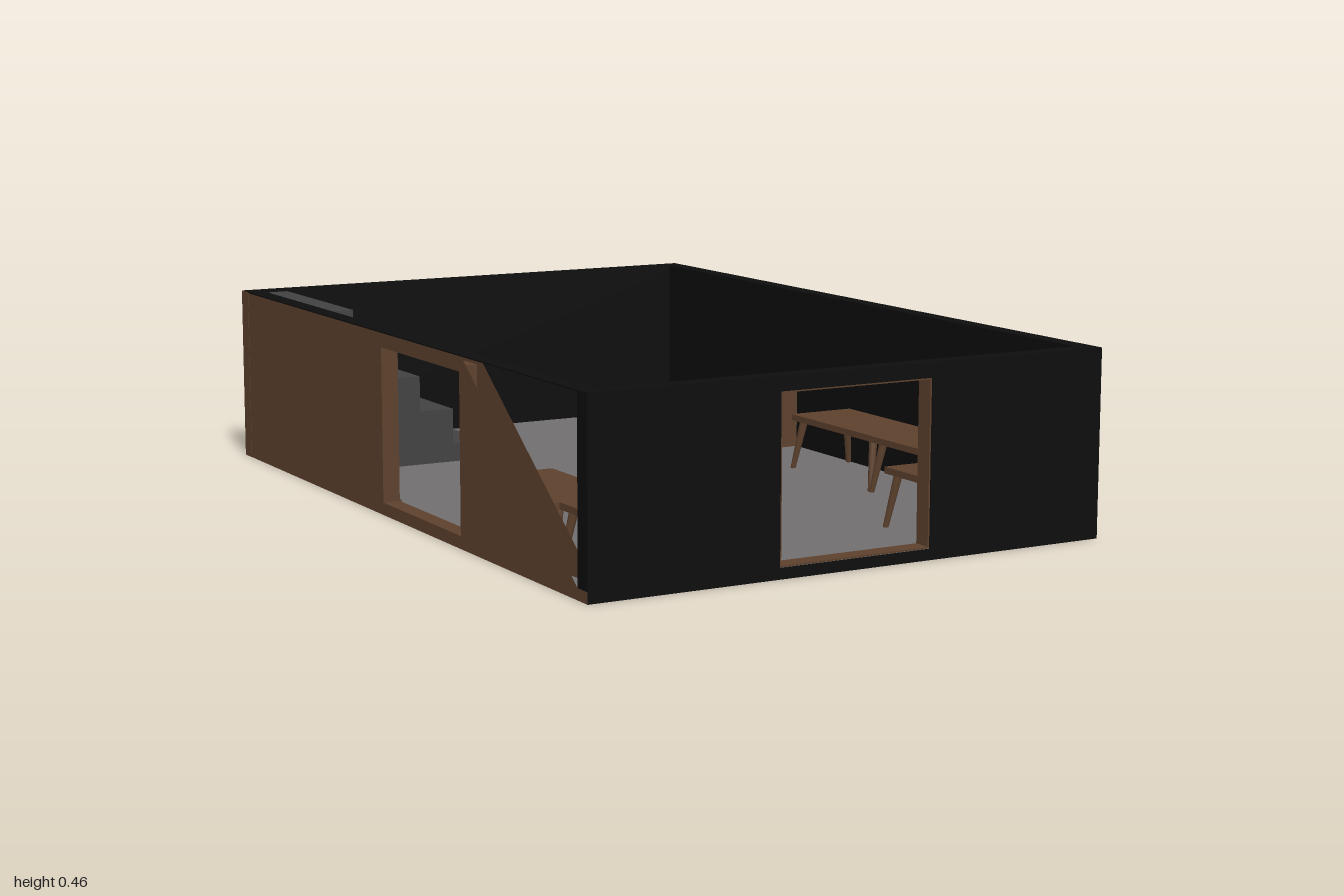
import * as THREE from 'three';

const mat = (name, color, extra = {}) => {
  const m = new THREE.MeshStandardMaterial({ color, ...extra });
  m.name = name;
  return m;
};

export function createModel() {
  const black = mat('black wall', 0x0d0d0d);
  const wood = mat('brown wood', 0x5d412d);
  const panel = mat('brown panel', 0x5d412d, { side: THREE.DoubleSide });
  const grey = mat('grey floor', 0x706e6e);
  const stone = mat('dark grey stairs', 0x424242);

  const room = new THREE.Group();
  room.name = 'room';

  // Box given by its minimum and maximum on each axis
  const box = (name, m, x0, x1, y0, y1, z0, z1, parent = room) => {
    const mesh = new THREE.Mesh(new THREE.BoxGeometry(x1 - x0, y1 - y0, z1 - z0), m);
    mesh.position.set((x0 + x1) / 2, (y0 + y1) / 2, (z0 + z1) / 2);
    mesh.name = name;
    parent.add(mesh);
    return mesh;
  };

  const X = 0.68, Z = 1, H = 0.455, F = 0.027, IX = 0.636, IZ = 0.955;
  const HEAD = 0.42; // top of both openings

  // Floor slab: grey on top, brown below, dark edges
  box('floor', [black, wood, grey, wood, black, black], -X, X, 0, F, -Z, Z);

  // Solid walls
  box('backWall', black, -X, X, F, H, -Z, -IZ);
  box('rightWall', black, IX, X, F, H, -IZ, IZ);
  box('frontWallLeft', black, -X, -0.2, F, H, IZ, Z);
  box('frontWallRight', black, 0.2, X, F, H, IZ, Z);
  box('frontLintel', black, -0.2, 0.2, HEAD, H, IZ, Z);

  // Side wall: two thin skins with a doorway and a sloping cut, under a dark rim
  const outline = (back, front) => new THREE.Shape([
    [back, F], [-0.07, F], [-0.07, HEAD], [0.38, HEAD], [0.38, F],
    [front, F], [0.39, H - 0.003], [back, H - 0.003],
  ].map(([z, y]) => new THREE.Vector2(z, y)));
  [[-X, -IZ, IZ, 'sideWallOuter'], [-IX, -IZ, IZ, 'sideWallInner']].forEach(([x, b, f, name]) => {
    const skin = new THREE.Mesh(new THREE.ShapeGeometry(outline(b, f)), panel);
    skin.rotation.y = -Math.PI / 2;
    skin.position.x = x;
    skin.name = name;
    room.add(skin);
  });
  box('sideWallRim', black, -X, -IX, H - 0.003, H, -IZ, IZ);
  box('sideWallBackEnd', wood, -X - 0.001, -X + 0.001, 0, H, -Z, -IZ);

  // Doorway linings
  const T = 0.004;
  box('frontDoorJambLeft', wood, -0.2, -0.2 + T, F, HEAD, IZ - 0.002, Z - 0.002);
  box('frontDoorJambRight', wood, 0.2 - T, 0.2, F, HEAD, IZ - 0.002, Z - 0.002);
  box('frontDoorSill', wood, -0.2, 0.2, F, F + T, IZ - 0.002, Z - 0.002);
  box('frontDoorHead', wood, -0.2, 0.2, HEAD - T, HEAD + 0.015, IZ - 0.006, Z - 0.004);
  box('sideDoorJambBack', wood, -X, -IX, F, HEAD, -0.07, -0.07 + T);
  box('sideDoorJambFront', wood, -X, -IX, F, HEAD, 0.38 - T, 0.38);
  box('sideDoorSill', wood, -X, -IX, F, F + T, -0.07, 0.38);
  box('sideDoorHead', wood, -X, -IX + 0.006, HEAD - T, HEAD + 0.01, -0.07, 0.38);

  // Skirting along the side wall
  box('skirting', wood, -IX, -IX + 0.006, F, F + 0.006, -0.5, -0.07);

  // Stairs rising towards the side wall
  const stairs = new THREE.Group();
  stairs.name = 'stairs';
  room.add(stairs);
  const edges = [-0.19, -0.286, -0.381, -0.476, -0.567, -IX + 0.001];
  for (let i = 0; i < 5; i++) {
    box('step', stone, edges[i + 1], edges[i], F, 0.075 + i * 0.094, -IZ, -0.5, stairs);
  }

  // Counter
  box('counter', wood, 0.06, IX, F, 0.19, -0.425, -0.25);

  // Table with four splayed tapered legs
  const up = new THREE.Vector3(0, 1, 0);
  const table = (x0, x1, z0, z1, top) => {
    const g = new THREE.Group();
    g.name = 'table';
    room.add(g);
    box('tableTop', wood, x0, x1, top - 0.016, top, z0, z1, g);
    for (const sx of [-1, 1]) for (const sz of [-1, 1]) {
      const cx = sx < 0 ? x0 : x1, cz = sz < 0 ? z0 : z1;
      const foot = new THREE.Vector3(cx - sx * 0.003, F, cz - sz * 0.003);
      const head = new THREE.Vector3(cx - sx * 0.024, top - 0.012, cz - sz * 0.024);
      const dir = head.clone().sub(foot);
      const leg = new THREE.Mesh(new THREE.CylinderGeometry(0.011, 0.007, dir.length(), 10), wood);
      leg.position.copy(foot).add(head).multiplyScalar(0.5);
      leg.quaternion.setFromUnitVectors(up, dir.normalize());
      leg.name = 'tableLeg';
      g.add(leg);
    }
  };
  table(0.452, 0.632, 0.015, 0.384, 0.17);
  table(0.45, 0.632, 0.386, 0.752, 0.17);
  table(0.242, 0.618, 0.754, 0.942, 0.172);
  table(-0.618, -0.242, 0.754, 0.942, 0.172);
  table(-0.63, -0.445, 0.383, 0.752, 0.17);

  return room;
}
